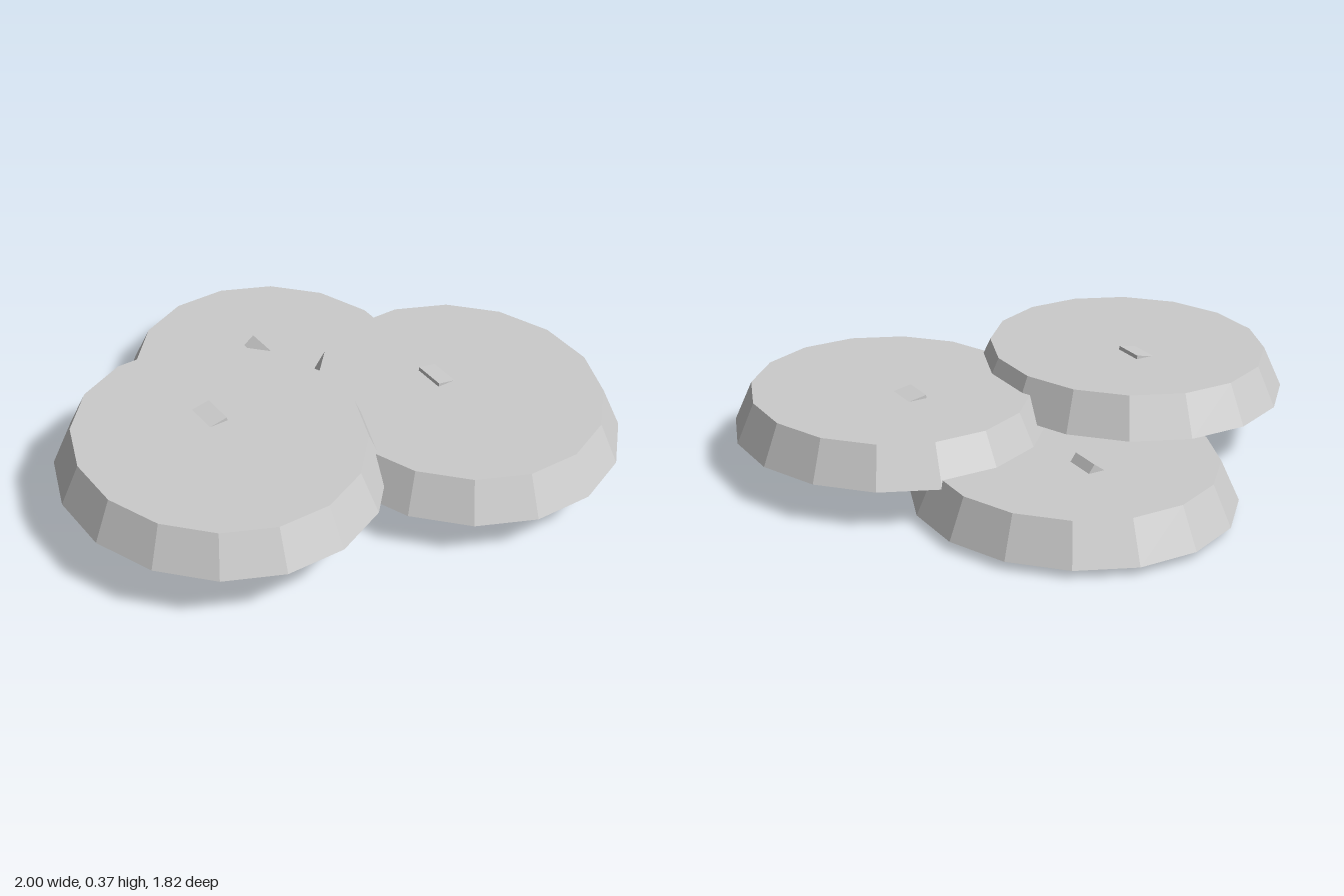
import * as THREE from 'three';

const material = new THREE.MeshStandardMaterial({ color: 0xcccccc, flatShading: true });

// Slightly oval, tapered 16-sided disc with a flat on each axis
const discGeometry = new THREE.CylinderGeometry(0.499, 0.563, 0.146, 16, 1, false, Math.PI / 16);
discGeometry.scale(1, 1, 1.083);

// Square peg that pokes through both faces of a disc
const pegGeometry = new THREE.BoxGeometry(0.147, 0.147, 0.12);

// One disc with its tilted peg
function makeDisc(name, x, y, z, pegTilt) {
  const group = new THREE.Group();
  group.name = name;
  group.position.set(x, y, z);

  const disc = new THREE.Mesh(discGeometry, material);
  disc.name = 'disc';

  const peg = new THREE.Mesh(pegGeometry, material);
  peg.name = 'peg';
  peg.position.set(0, 0, -0.103);
  peg.rotation.z = THREE.MathUtils.degToRad(pegTilt);

  group.add(disc, peg);
  return group;
}

export function createModel() {
  const model = new THREE.Group();
  model.name = 'stackedDiscs';
  model.add(
    makeDisc('backDisc', 0.058, 0.107, -0.314, 36.5),
    makeDisc('rightDisc', -0.447, 0.284, 0.132, 11),
    makeDisc('leftDisc', 0.446, 0.226, 0.314, -10.5),
  );
  return model;
}
